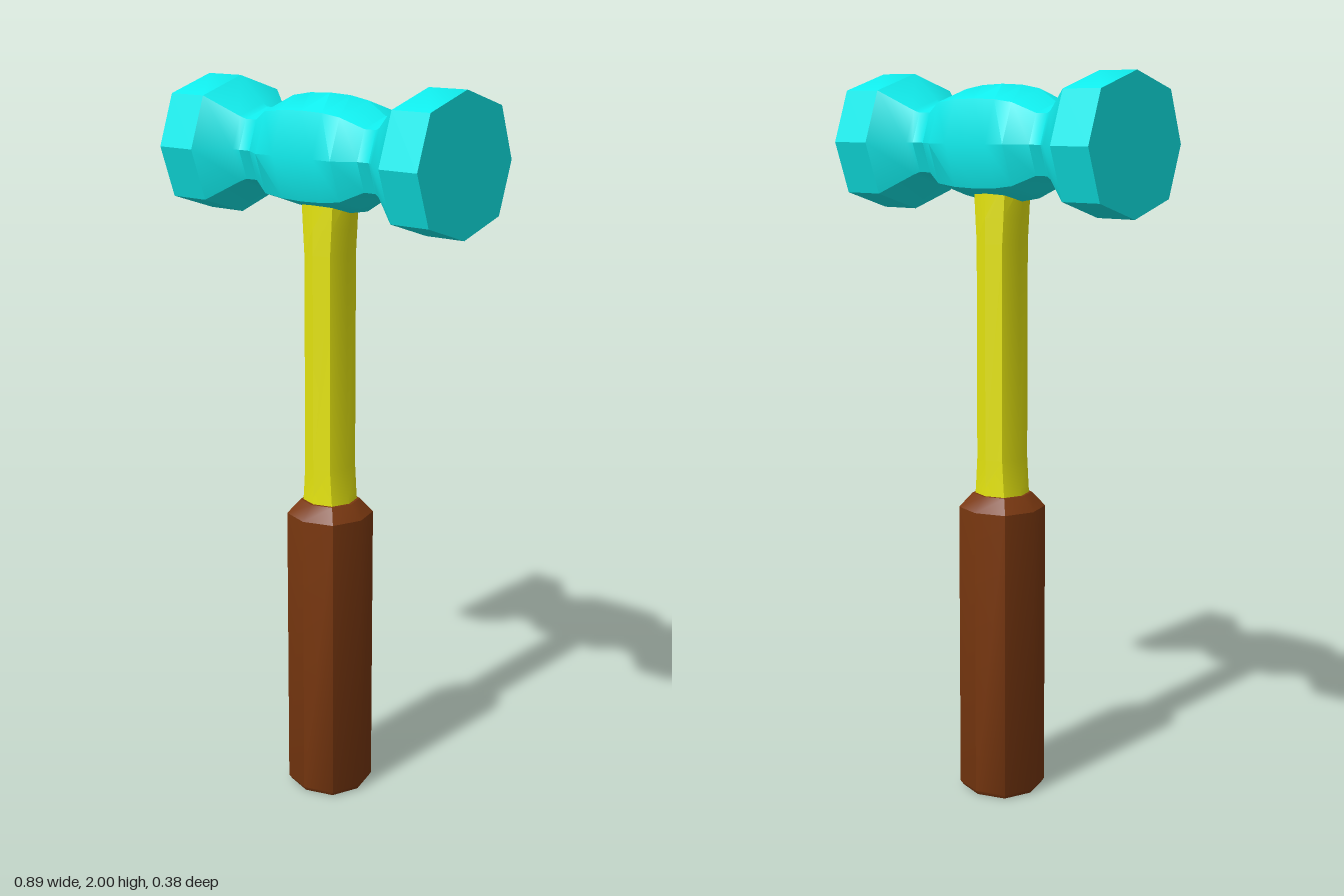
import * as THREE from 'three';
import { toCreasedNormals } from 'three/addons/utils/BufferGeometryUtils.js';

// Eight-sided section: blunt corners on the axes, harder ones on the diagonals
const D = 0.75;
const SECTION = [[1, 0], [D, D], [0, 1], [-D, D], [-1, 0], [-D, -D], [0, -1], [D, -D]];
const CREASE = THREE.MathUtils.degToRad(38);

// Closed loft along y through rings of [y, half width in x, half width in z]
function loft(rings) {
  const n = SECTION.length, pos = [], index = [];
  for (const [y, a, b] of rings) for (const [u, v] of SECTION) pos.push(u * a, y, v * b);
  const last = rings.length - 1, bottom = rings.length * n, top = bottom + 1;
  pos.push(0, rings[0][0], 0, 0, rings[last][0], 0);
  for (let j = 0; j < n; j++) {
    const k = (j + 1) % n;
    for (let i = 0; i < last; i++) {
      const p = i * n, q = p + n;
      index.push(p + j, q + j, p + k, p + k, q + j, q + k);
    }
    index.push(bottom, j, k, top, last * n + k, last * n + j);
  }
  const g = new THREE.BufferGeometry();
  g.setAttribute('position', new THREE.Float32BufferAttribute(pos, 3));
  g.setIndex(index);
  return toCreasedNormals(g, CREASE);
}

function part(name, geometry, color) {
  const mesh = new THREE.Mesh(geometry, new THREE.MeshStandardMaterial({ color }));
  mesh.name = name;
  return mesh;
}

export function createModel() {
  const model = new THREE.Group();
  model.name = 'hammer';

  // Grip with chamfered ends
  model.add(part('grip', loft([
    [0, 0.105, 0.105], [0.012, 0.113, 0.113], [0.82, 0.113, 0.113], [0.86, 0.078, 0.078],
  ]), 0x7a3810));

  // Shaft, flaring in x towards the grip and the head
  model.add(part('shaft', loft([
    [0.84, 0.073, 0.07], [0.88, 0.068, 0.07], [0.96, 0.061, 0.07],
    [1.55, 0.061, 0.07], [1.62, 0.067, 0.07], [1.72, 0.075, 0.07],
  ]), 0xe6e610));

  // Half of the head, centre to face: [distance, vertical radius, depth radius]
  const half = [
    [0.07, 0.152, 0.149], [0.13, 0.142, 0.149], [0.188, 0.106, 0.111], [0.226, 0.106, 0.111],
    [0.242, 0.115, 0.12], [0.325, 0.185, 0.192], [0.445, 0.185, 0.192],
  ];
  const mirrored = half.map(([d, a, b]) => [-d, a, b]).reverse();
  const head = part('head', loft([...mirrored, [0, 0.155, 0.149], ...half]), 0x10eeee);
  head.rotation.z = -Math.PI / 2;
  head.position.y = 1.815;
  model.add(head);

  return model;
}
